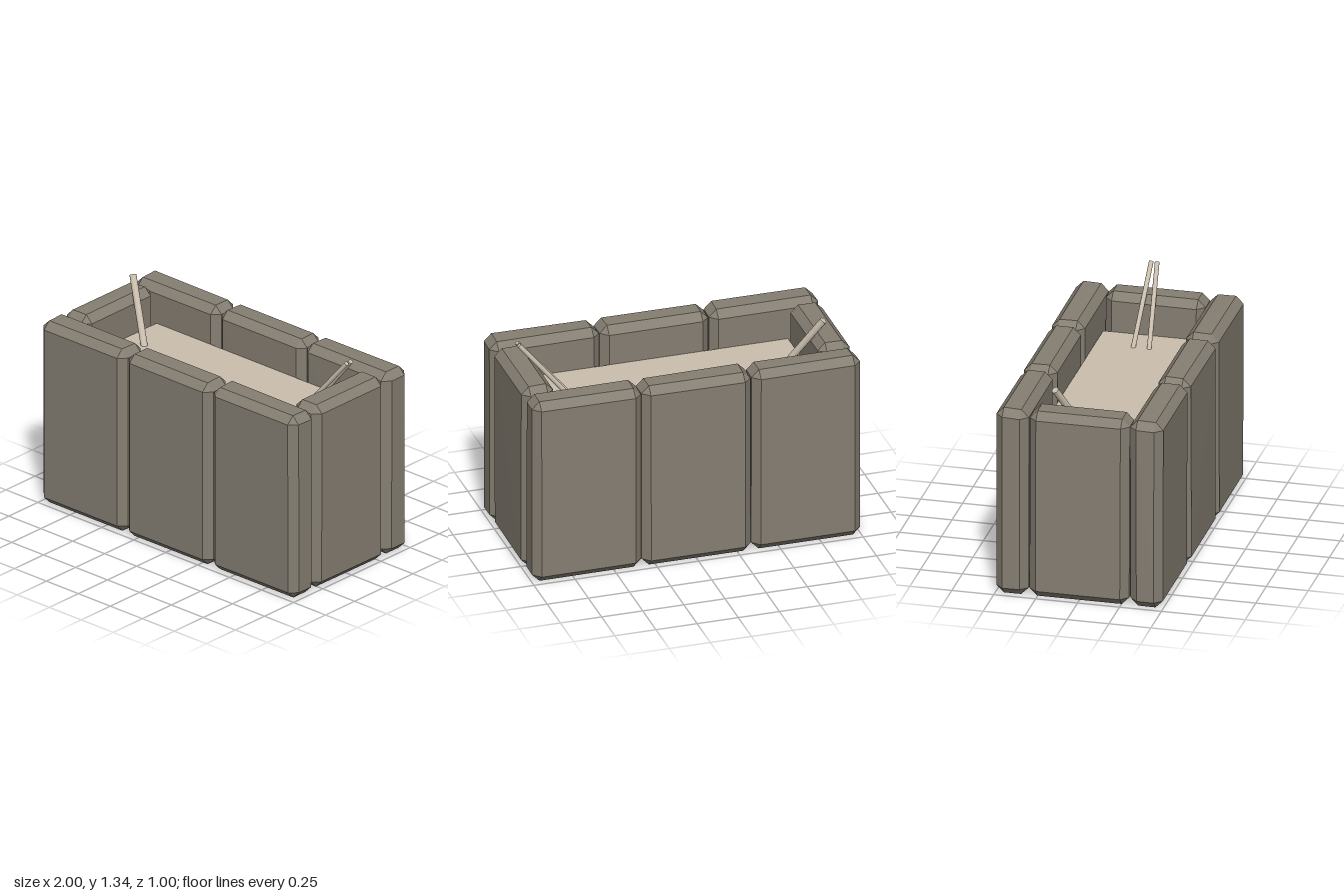
import * as THREE from 'three';
import { ConvexGeometry } from 'three/addons/geometries/ConvexGeometry.js';

const stone = new THREE.MeshStandardMaterial({ color: 0x857e72, flatShading: true });
stone.name = 'grey stone';
const sand = new THREE.MeshStandardMaterial({ color: 0xcbbfae });
sand.name = 'pale sand';
const earth = new THREE.MeshStandardMaterial({ color: 0x665d54 });
earth.name = 'dark earth';

// Small seeded generator for the hewn unevenness of the stones
let seed = 7;
const wobble = (amount) => {
  seed = (seed * 16807) % 2147483647;
  return (seed / 2147483647 - 0.5) * 2 * amount;
};

const HEIGHT = 1.167;
const BEVEL = 0.045;

// Upright stone slab with bevelled edges: three hull points per corner
function slab(name, x, z, width, depth) {
  const points = [];
  for (const sx of [-1, 1]) for (const sy of [-1, 1]) for (const sz of [-1, 1]) {
    const cx = sx * width / 2 - sx * Math.abs(wobble(0.005));
    const cy = sy * HEIGHT / 2 - (sy > 0 ? Math.abs(wobble(0.006)) : 0);
    const cz = sz * depth / 2 - sz * Math.abs(wobble(0.005));
    const ix = cx - sx * BEVEL, iy = cy - sy * BEVEL, iz = cz - sz * BEVEL;
    points.push(
      new THREE.Vector3(cx, iy, iz),
      new THREE.Vector3(ix, cy, iz),
      new THREE.Vector3(ix, iy, cz));
  }
  const mesh = new THREE.Mesh(new ConvexGeometry(points), stone);
  mesh.name = name;
  mesh.position.set(x, HEIGHT / 2, z);
  return mesh;
}

// Straight round stick between two points
function stick(name, from, to, radius) {
  const a = new THREE.Vector3(...from), b = new THREE.Vector3(...to);
  const dir = b.clone().sub(a);
  const mesh = new THREE.Mesh(new THREE.CylinderGeometry(radius, radius, dir.length(), 12), sand);
  mesh.name = name;
  mesh.position.copy(a).add(b).multiplyScalar(0.5);
  mesh.quaternion.setFromUnitVectors(new THREE.Vector3(0, 1, 0), dir.normalize());
  return mesh;
}

function box(name, material, y0, y1) {
  const mesh = new THREE.Mesh(new THREE.BoxGeometry(1.6, y1 - y0, 0.6), material);
  mesh.name = name;
  mesh.position.y = (y0 + y1) / 2;
  return mesh;
}

export function createModel() {
  const model = new THREE.Group();
  model.name = 'stoneTrough';

  // Long walls of three slabs, and one slab at each end
  for (const s of [1, -1]) {
    for (const i of [-1, 0, 1]) {
      model.add(slab(s > 0 ? 'frontSlab' : 'backSlab', i * 2 / 3, s * 0.4, 2 / 3, 0.2));
    }
    model.add(slab(s > 0 ? 'leftEndSlab' : 'rightEndSlab', s * 0.9, 0, 0.2, 0.6));
  }

  // Filling and the floor beneath it
  model.add(box('floor', earth, 0.045, 0.1));
  model.add(box('sandFilling', sand, 0.1, 0.93));

  // One thick stick and a pair of thin ones standing in the sand
  model.add(stick('thickStick', [-0.64, 0.9, -0.025], [-0.865, 1.267, -0.168], 0.021));
  model.add(stick('thinStick', [0.59, 0.9, -0.075], [0.947, 1.332, -0.05], 0.014));
  model.add(stick('thinStick', [0.59, 0.9, 0.024], [0.947, 1.332, -0.015], 0.014));

  return model;
}
